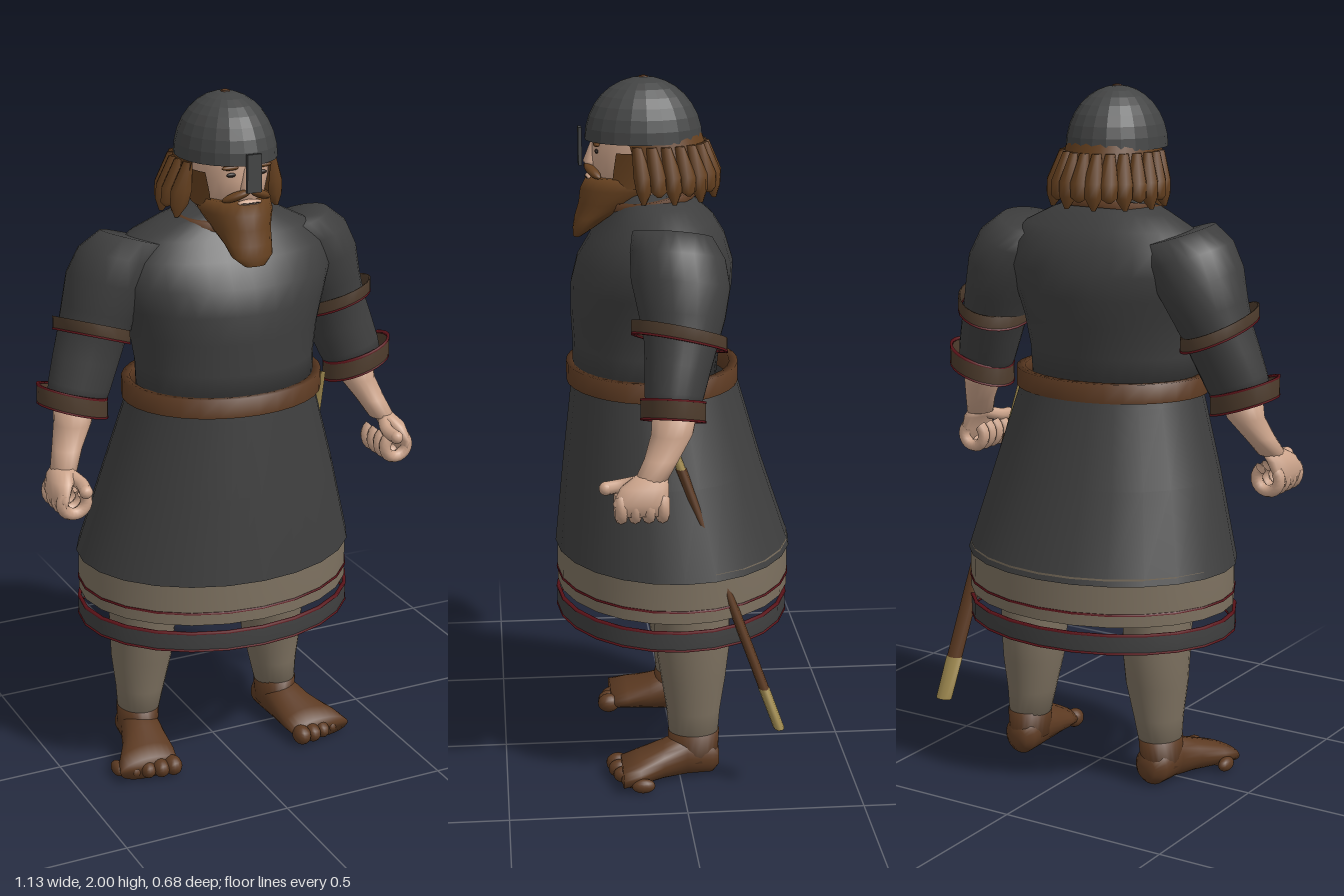
import * as THREE from 'three';
import { mergeGeometries } from 'three/addons/utils/BufferGeometryUtils.js';

const mat = (name, color) => {
  const m = new THREE.MeshStandardMaterial({ color, side: THREE.DoubleSide });
  m.name = name;
  return m;
};

// Skin of elliptical rings [cx, y, cz, rx, rz]; sx and sz tilt a ring, from/to limit it to an arc
function loft(rings, { segs = 24, cap = true, sx = 0, sz = 0, from = 0, to = Math.PI * 2 } = {}) {
  const list = rings[rings.length - 1][1] < rings[0][1] ? [...rings].reverse() : rings;
  const full = to - from > 6.28, n = full ? segs : segs + 1;
  const pos = [], idx = [];
  for (const [cx, y, cz, rx, rz] of list)
    for (let j = 0; j < n; j++) {
      const a = from + (to - from) * j / segs;
      const dx = rx * Math.sin(a), dz = rz * Math.cos(a);
      pos.push(cx + dx, y + sx * dx + sz * dz, cz + dz);
    }
  for (let i = 0; i < list.length - 1; i++)
    for (let j = 0; j < segs; j++) {
      const k = (j + 1) % n, a = i * n + j, b = i * n + k;
      idx.push(a, b, b + n, a, b + n, a + n);
    }
  if (cap && full) {
    const last = list.length - 1, c = pos.length / 3;
    for (const r of [list[0], list[last]]) pos.push(r[0], r[1], r[2]);
    for (let j = 0; j < n; j++) {
      const k = (j + 1) % n;
      idx.push(c, k, j, c + 1, last * n + j, last * n + k);
    }
  }
  const g = new THREE.BufferGeometry();
  g.setAttribute('position', new THREE.Float32BufferAttribute(pos, 3));
  g.setIndex(idx);
  g.computeVertexNormals();
  return g;
}

// Hollow ring with a wall thickness t, centred on height y
function band(cx, y, cz, rx, rz, h, t = 0.006, opts = {}) {
  const lo = y - h / 2, hi = y + h / 2;
  return loft([[cx, lo, cz, rx, rz], [cx, hi, cz, rx, rz], [cx, hi, cz, rx - t, rz - t],
    [cx, lo, cz, rx - t, rz - t], [cx, lo, cz, rx, rz]], { ...opts, cap: false });
}

const ball = (x, y, z, rx, ry, rz) =>
  new THREE.SphereGeometry(1, 14, 10).scale(rx, ry, rz).translate(x, y, z);

function mirrored(g) {
  const m = g.clone().scale(-1, 1, 1), ix = m.index.array;
  for (let i = 0; i < ix.length; i += 3) [ix[i], ix[i + 1]] = [ix[i + 1], ix[i]];
  return m;
}

export function createModel() {
  const cloth = mat('dark cloth', 0x3e3e3e), iron = mat('helmet iron', 0x434444);
  const leather = mat('leather', 0x5c3a22), hairMat = mat('hair', 0x65401f);
  const skin = mat('skin', 0xcda58c), linen = mat('linen', 0x7c705f);
  const trim = mat('sleeve trim', 0x4d3b2c), red = mat('red edging', 0x5a1218);
  const brass = mat('pale gold', 0xa38d52), dark = mat('eye dark', 0x241c18);
  const model = new THREE.Group();
  model.name = 'warrior';
  const add = (name, g, m) => {
    const mesh = new THREE.Mesh(g, m);
    mesh.name = name;
    model.add(mesh);
  };
  const pair = (name, g, m) => { add(name + 'Left', g, m); add(name + 'Right', mirrored(g), m); };

  // Tunic
  add('tunicBody', loft([[0, 1.15, 0.08, 0.26, 0.205], [0, 1.25, 0.075, 0.262, 0.21],
    [0, 1.34, 0.068, 0.275, 0.222], [0, 1.42, 0.06, 0.3, 0.228], [0, 1.49, 0.05, 0.325, 0.22],
    [0, 1.56, 0.04, 0.315, 0.188], [0, 1.61, 0.035, 0.265, 0.152], [0, 1.65, 0.045, 0.185, 0.118],
    [0, 1.68, 0.055, 0.11, 0.09]], { segs: 32 }), cloth);
  add('skirt', loft([[0, 1.18, 0.055, 0.268, 0.23], [0, 1.12, 0.05, 0.28, 0.242],
    [0, 0.9, 0.03, 0.345, 0.287], [0, 0.65, 0, 0.412, 0.342]], { cap: false }), cloth);
  add('skirtHem', band(0, 0.6, 0, 0.406, 0.337, 0.14), linen);
  add('hemStitch', band(0, 0.566, 0, 0.409, 0.34, 0.006, 0.004), red);
  add('lowerBorder', band(0, 0.478, 0.003, 0.41, 0.336, 0.055), cloth);
  for (const y of [0.452, 0.505]) add('borderEdge', band(0, y, 0.003, 0.412, 0.338, 0.006, 0.01), red);
  add('belt', band(0, 1.163, 0.058, 0.292, 0.246, 0.055, 0.025, { segs: 32 }), leather);
  add('collar', band(0, 1.66, 0.06, 0.145, 0.125, 0.022, 0.03, { sz: -0.15 }), leather);

  // Sleeves with loose bands
  pair('sleeve', loft([[0.24, 1.6, 0.02, 0.1, 0.11], [0.285, 1.55, 0.01, 0.115, 0.13],
    [0.32, 1.48, 0.005, 0.115, 0.135], [0.352, 1.4, 0.005, 0.1, 0.118], [0.378, 1.33, 0.01, 0.092, 0.1],
    [0.4, 1.27, 0.02, 0.09, 0.09], [0.425, 1.2, 0.032, 0.086, 0.08],
    [0.442, 1.15, 0.04, 0.078, 0.072]], { sx: 0.3, sz: 0.1 }), cloth);
  const armBand = { sx: 0.33, sz: 0.22 }, cuff = { sx: 0.32, sz: 0.08 };
  pair('armBand', band(0.378, 1.352, 0.014, 0.103, 0.13, 0.036, 0.006, armBand), trim);
  pair('armBandEdge', band(0.378, 1.333, 0.014, 0.104, 0.131, 0.006, 0.008, armBand), red);
  pair('cuff', band(0.448, 1.162, 0.037, 0.1, 0.088, 0.055, 0.006, cuff), trim);
  for (const y of [1.135, 1.189])
    pair('cuffEdge', band(0.448, y, 0.037, 0.101, 0.089, 0.006, 0.008, cuff), red);

  // Forearms and half closed hands
  pair('forearm', loft([[0.437, 1.17, 0.03, 0.062, 0.062], [0.45, 1.1, 0.04, 0.053, 0.057],
    [0.48, 1.04, 0.07, 0.042, 0.048], [0.503, 0.99, 0.1, 0.037, 0.045]], { segs: 16 }), skin);
  pair('palm', loft([[0.503, 1.0, 0.1, 0.03, 0.043], [0.522, 0.975, 0.12, 0.034, 0.065],
    [0.538, 0.935, 0.132, 0.025, 0.075], [0.537, 0.9, 0.13, 0.015, 0.065]], { segs: 16 }), skin);
  const fingers = [0, 1, 2, 3].map(i =>
    new THREE.TorusGeometry(0.036, 0.018, 8, 14, 4.7).rotateZ(-4.0)
      .translate(0.507, 0.922, 0.072 + i * 0.037));
  pair('fingers', mergeGeometries(fingers), skin);
  const thumb = new THREE.CatmullRomCurve3([[0.502, 0.985, 0.12], [0.482, 0.968, 0.175], [0.487, 0.962, 0.222]]
    .map(p => new THREE.Vector3(...p)));
  pair('thumb', mergeGeometries([new THREE.TubeGeometry(thumb, 8, 0.019, 8),
    ball(0.487, 0.962, 0.222, 0.019, 0.019, 0.019)]), skin);

  // Legs and soft shoes
  pair('leg', loft([[0.23, 0.11, -0.042, 0.058, 0.07], [0.222, 0.2, -0.042, 0.072, 0.078],
    [0.216, 0.3, -0.042, 0.09, 0.094], [0.213, 0.4, -0.04, 0.096, 0.108],
    [0.214, 0.52, -0.035, 0.098, 0.11], [0.2, 0.75, 0, 0.115, 0.13], [0.15, 1, 0.04, 0.12, 0.14]]), linen);
  pair('shoe', loft([[0.225, -0.115, -0.05, 0.03, 0.03], [0.23, -0.095, -0.058, 0.053, 0.056],
    [0.235, -0.02, -0.068, 0.06, 0.067], [0.25, 0.05, -0.054, 0.07, 0.053],
    [0.272, 0.12, -0.042, 0.089, 0.041], [0.285, 0.17, -0.033, 0.092, 0.032]])
    .rotateX(Math.PI / 2), leather);
  pair('shoeAnkle', loft([[0.232, 0.05, -0.04, 0.058, 0.073], [0.23, 0.135, -0.042, 0.062, 0.075]]), leather);
  const toes = [0, 1, 2, 3, 4].map(i =>
    ball(0.214 + i * 0.037, 0.03 - i * 0.002, 0.178 - i * i * 0.004, 0.027 - i * 0.002, 0.029 - i * 0.002, 0.034));
  pair('toes', mergeGeometries(toes), leather);

  // Head and face
  add('head', loft([[0, 1.62, 0.06, 0.085, 0.085], [0, 1.68, 0.085, 0.08, 0.105],
    [0, 1.73, 0.1, 0.09, 0.125], [0, 1.78, 0.095, 0.106, 0.132], [0, 1.85, 0.085, 0.112, 0.138],
    [0, 1.9, 0.08, 0.1, 0.12]]), skin);
  add('nose', loft([[0, 1.752, 0.218, 0.023, 0.02], [0, 1.765, 0.222, 0.022, 0.028],
    [0, 1.825, 0.212, 0.011, 0.014]], { segs: 12 }), skin);
  pair('eye', ball(0.045, 1.798, 0.214, 0.016, 0.006, 0.005), dark);
  pair('brow', ball(0.047, 1.818, 0.214, 0.028, 0.007, 0.009), hairMat);

  // Beard and moustache around the mouth
  add('beard', loft([[0, 1.725, 0.125, 0.098, 0.115], [0, 1.69, 0.14, 0.1, 0.118],
    [0, 1.65, 0.175, 0.083, 0.088], [0, 1.61, 0.225, 0.068, 0.05], [0, 1.58, 0.25, 0.06, 0.03],
    [0, 1.555, 0.268, 0.03, 0.012]]), hairMat);
  add('sideburns', loft([[0, 1.7, 0.105, 0.102, 0.13], [0, 1.745, 0.1, 0.106, 0.13],
    [0, 1.8, 0.09, 0.117, 0.135]], { from: 1.0, to: 5.28, cap: false }), hairMat);
  pair('moustache', ball(0, 0, 0, 0.042, 0.012, 0.016).rotateZ(-0.35).rotateY(0.45)
    .translate(0.036, 1.741, 0.225), hairMat);
  add('lips', ball(0, 1.722, 0.232, 0.036, 0.009, 0.012), skin);
  add('mouthLine', ball(0, 1.722, 0.241, 0.03, 0.002, 0.004), dark);

  // Shoulder length hair with loose locks
  add('hair', loft([[0, 1.86, 0.075, 0.128, 0.152], [0, 1.79, 0.055, 0.138, 0.155],
    [0, 1.72, 0.035, 0.152, 0.155]], { from: 1.15, to: 5.13, cap: false }), hairMat);
  const locks = [];
  for (let i = 0; i < 15; i++) {
    const a = 1.2 + i * (3.88 / 14), s = Math.sin(a), c = Math.cos(a), w = i % 2;
    locks.push(loft([[0.134 * s, 1.82, 0.055 + 0.145 * c, 0.014, 0.014],
      [0.147 * s, 1.74, 0.038 + 0.15 * c, 0.032, 0.026],
      [0.153 * s, 1.7, 0.035 + 0.15 * c, 0.028, 0.022],
      [0.163 * s, 1.665 + w * 0.022, 0.035 + 0.155 * c, 0.006, 0.006]], { segs: 8 }));
  }
  add('hairLocks', mergeGeometries(locks), hairMat);

  // Faceted helmet with nose guard
  const dome = new THREE.SphereGeometry(1, 22, 8, 0, Math.PI * 2, 0, Math.PI / 2)
    .scale(0.138, 0.172, 0.165).translate(0, 1.826, 0.08).toNonIndexed();
  dome.computeVertexNormals();
  add('helmet', dome, iron);
  add('helmetRivet', new THREE.CylinderGeometry(0.012, 0.015, 0.008, 10).translate(0, 1.996, 0.08), leather);
  add('noseGuard', new THREE.BoxGeometry(0.042, 0.105, 0.01).translate(0, 1.808, 0.258), iron);

  // Sheathed sword hanging at the left hip
  const at = (y, r) => {
    const t = (1.14 - y) / 0.94;
    return [0.308 + 0.077 * t, y, 0.07 - 0.34 * t, r, r * 0.6];
  };
  add('swordGrip', loft([at(1.14, 0.021), at(0.96, 0.022)], { segs: 10 }), brass);
  add('scabbard', loft([at(0.96, 0.026), at(0.32, 0.025)], { segs: 10 }), leather);
  add('scabbardTip', loft([at(0.32, 0.027), at(0.2, 0.026)], { segs: 10 }), brass);
  return model;
}
